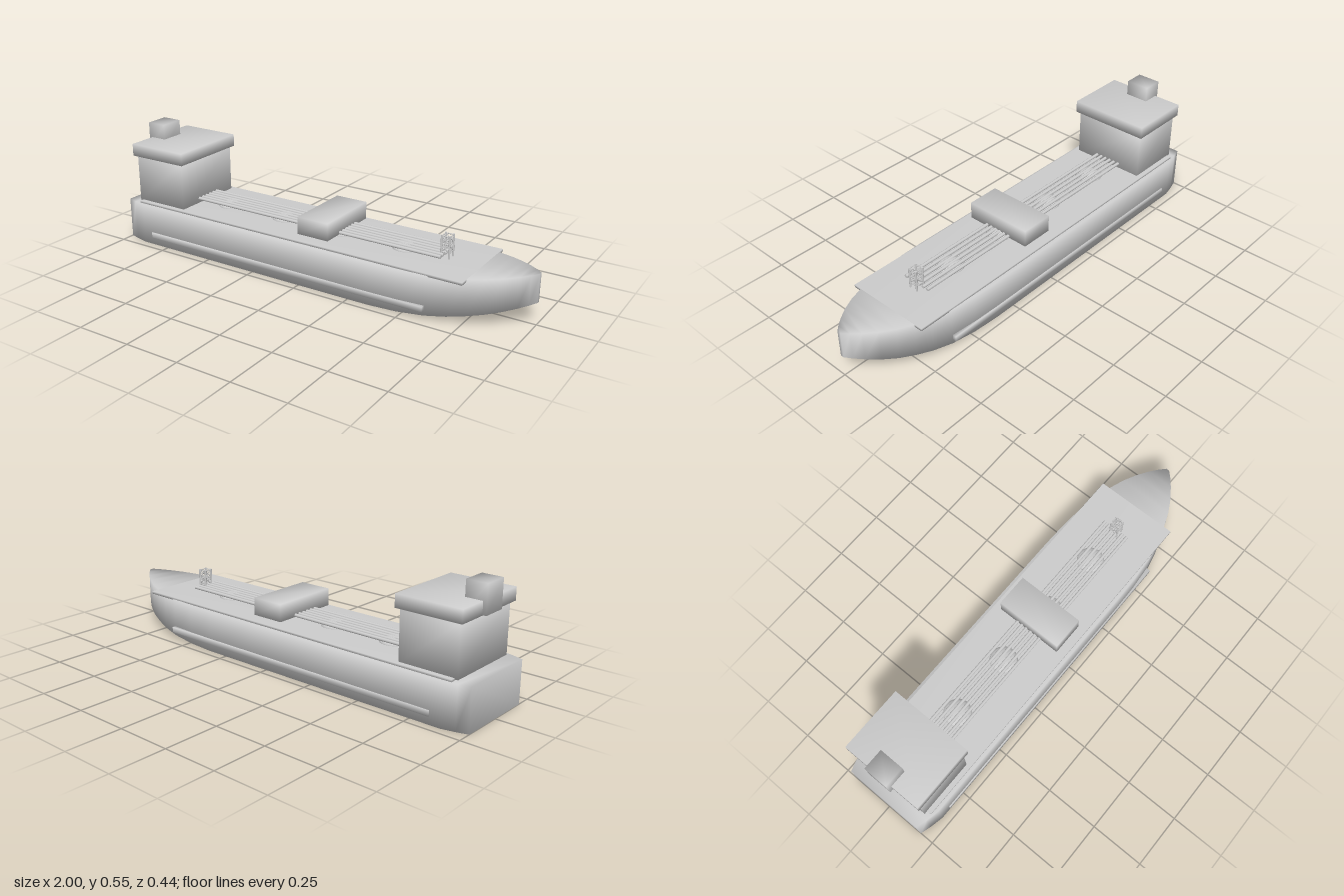
import * as THREE from 'three';
import { mergeVertices } from 'three/addons/utils/BufferGeometryUtils.js';

const material = new THREE.MeshStandardMaterial({ color: 0xcccccc });

function add(parent, name, geometry) {
  const mesh = new THREE.Mesh(geometry, material);
  mesh.name = name;
  parent.add(mesh);
  return mesh;
}

// Box from min/max ranges, with normals blended round its corners
function softBox(parent, name, [x0, x1], [y0, y1], [z0, z1]) {
  let g = new THREE.BoxGeometry(x1 - x0, y1 - y0, z1 - z0);
  g.deleteAttribute('normal');
  g.deleteAttribute('uv');
  g = mergeVertices(g);
  g.computeVertexNormals();
  g.translate((x0 + x1) / 2, (y0 + y1) / 2, (z0 + z1) / 2);
  return add(parent, name, g);
}

// Round bar between two points
function bar(parent, name, a, b, radius, sides = 8) {
  const dir = new THREE.Vector3().subVectors(b, a);
  const mesh = add(parent, name, new THREE.CylinderGeometry(radius, radius, dir.length(), sides));
  mesh.position.addVectors(a, b).multiplyScalar(0.5);
  mesh.quaternion.setFromUnitVectors(new THREE.Vector3(0, 1, 0), dir.normalize());
  return mesh;
}

// Hull lofted through rectangular stations: [x, half beam]
function hullGeometry() {
  const stations = [
    [-1, 0.185], [-0.95, 0.2], [-0.89, 0.213], [-0.4, 0.213], [0.1, 0.213], [0.35, 0.213],
    [0.48, 0.21], [0.6, 0.2], [0.69, 0.182], [0.76, 0.16], [0.83, 0.133], [0.89, 0.1],
    [0.94, 0.064], [0.975, 0.034], [1, 0.008],
  ];
  const pos = [], idx = [];
  for (const [x, b] of stations) {
    const keel = 0.1 * Math.max(0, (x - 0.3) / 0.7) ** 2.2;
    const sheer = 0.19 + 0.035 * Math.max(0, (x - 0.5) / 0.5) ** 2;
    pos.push(x, keel, b, x, sheer, b, x, sheer, -b, x, keel, -b);
  }
  const last = (stations.length - 1) * 4;
  for (let i = 0; i < last; i += 4) {
    for (let j = 0; j < 4; j++) {
      const a = i + j, b = i + (j + 1) % 4, c = b + 4, d = a + 4;
      idx.push(a, d, c, a, c, b);
    }
  }
  idx.push(0, 1, 2, 0, 2, 3, last, last + 2, last + 1, last, last + 3, last + 2);
  const g = new THREE.BufferGeometry();
  g.setAttribute('position', new THREE.Float32BufferAttribute(pos, 3));
  g.setIndex(idx);
  g.computeVertexNormals();
  return g;
}

// Lattice mast: four posts, rings and crossed braces
function addMast(parent) {
  const mast = new THREE.Group();
  mast.name = 'foremast';
  parent.add(mast);
  const corners = [[0.58, 0.019], [0.616, 0.019], [0.616, -0.019], [0.58, -0.019]];
  const levels = [0.225, 0.26, 0.295];
  const at = (k, y) => new THREE.Vector3(corners[k % 4][0], y, corners[k % 4][1]);
  for (let k = 0; k < 4; k++) {
    bar(mast, 'mastPost', at(k, 0.195), at(k, 0.299), 0.0045);
    levels.forEach((y, i) => {
      bar(mast, 'mastRing', at(k, y), at(k + 1, y), 0.0025, 6);
      if (i === 2) return;
      bar(mast, 'mastBrace', at(k, y), at(k + 1, levels[i + 1]), 0.002, 6);
      bar(mast, 'mastBrace', at(k + 1, y), at(k, levels[i + 1]), 0.002, 6);
    });
  }
}

export function createModel() {
  const ship = new THREE.Group();
  ship.name = 'tankerShip';

  add(ship, 'hull', hullGeometry());
  softBox(ship, 'deck', [-0.92, 0.76], [0.188, 0.2], [-0.198, 0.198]);
  softBox(ship, 'fenderLeft', [-0.84, 0.6], [0.035, 0.06], [0.194, 0.218]);
  softBox(ship, 'fenderRight', [-0.84, 0.6], [0.035, 0.06], [-0.218, -0.194]);

  // Stern superstructure
  softBox(ship, 'deckhouse', [-0.935, -0.667], [0.195, 0.42], [-0.177, 0.177]);
  softBox(ship, 'bridge', [-0.95, -0.652], [0.418, 0.475], [-0.192, 0.192]);
  softBox(ship, 'funnel', [-0.967, -0.873], [0.42, 0.545], [-0.056, 0.056]);

  // Midships manifold house
  softBox(ship, 'manifoldHouse', [-0.037, 0.117], [0.213, 0.292], [-0.16, 0.16]);

  // Cargo pipes along the deck
  for (let i = 0; i < 6; i++) {
    const z = (i - 2.5) * 0.025;
    bar(ship, 'deckPipe', new THREE.Vector3(-0.68, 0.221, z), new THREE.Vector3(0.6, 0.221, z), 0.0075, 10);
  }

  // Flattened tank domes
  for (let i = 0; i < 4; i++) {
    const dome = add(ship, 'tankDome', new THREE.SphereGeometry(0.063, 24, 8, 0, Math.PI * 2, 0, Math.PI / 2));
    dome.scale.y = 0.42;
    dome.position.set(-0.52 + i * 0.31, 0.199, 0);
  }

  addMast(ship);
  return ship;
}
